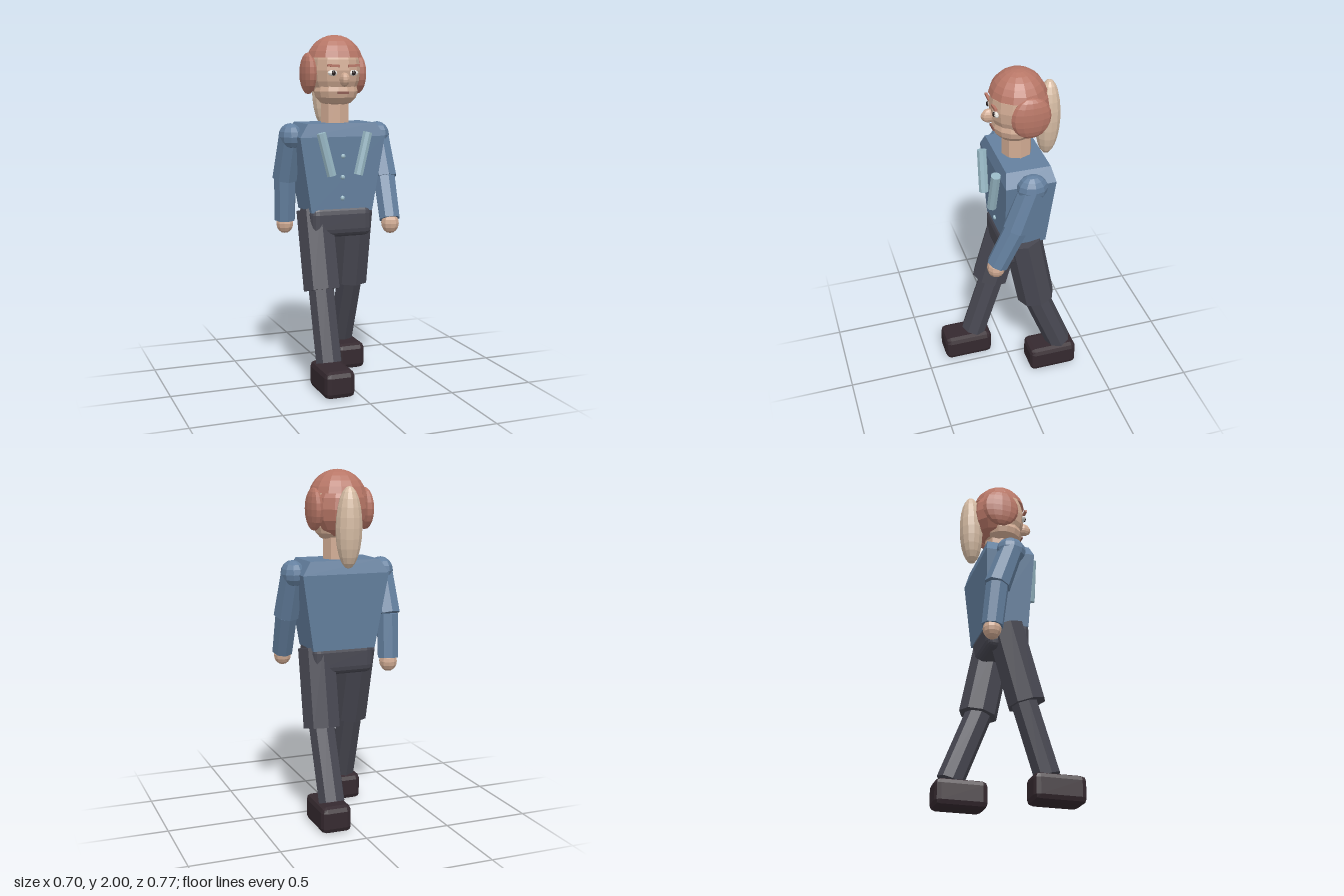
import * as THREE from 'three';
import { RoundedBoxGeometry } from 'three/addons/geometries/RoundedBoxGeometry.js';

const mat = (name, color, extra = {}) => {
  const m = new THREE.MeshStandardMaterial({ color, flatShading: true, ...extra });
  m.name = name;
  return m;
};

export function createModel() {
  const group = new THREE.Group();
  group.name = 'walkingFigure';

  const shirt = mat('shirt blue', 0x64809f);
  const hair = mat('hair auburn', 0xb87767, { side: THREE.DoubleSide });
  const skin = mat('skin', 0xd2ac94);
  const tailSkin = mat('pale tan', 0xd6bca4);
  const trousers = mat('trouser grey', 0x484852);
  const leather = mat('shoe brown', 0x35292f);
  const trim = mat('trim light blue', 0x97b7c4);
  const dark = mat('dark', 0x2a2020);
  const white = mat('eye white', 0xe8e4de);
  const lip = mat('lip', 0x8c5a50);

  const add = (name, geo, m, pos = [0, 0, 0]) => {
    const mesh = new THREE.Mesh(geo, m);
    mesh.name = name;
    mesh.position.set(...pos);
    group.add(mesh);
    return mesh;
  };
  const ball = (name, m, pos, radii, w = 12, h = 8) => {
    const mesh = add(name, new THREE.SphereGeometry(1, w, h), m, pos);
    mesh.scale.set(...radii);
    return mesh;
  };
  // Straight faceted limb between two points
  const limb = (name, m, from, to, r0, r1 = r0, sides = 8) => {
    const a = new THREE.Vector3(...from), b = new THREE.Vector3(...to);
    const dir = a.clone().sub(b);
    const mesh = add(name, new THREE.CylinderGeometry(r0, r1, dir.length(), sides), m);
    mesh.position.copy(a).add(b).multiplyScalar(0.5);
    mesh.quaternion.setFromUnitVectors(new THREE.Vector3(0, 1, 0), dir.normalize());
    return mesh;
  };

  // Torso: stacked rectangles [y, half width, front z, back z]
  const sections = [
    [1.0, 0.185, 0.07, -0.168],
    [1.43, 0.255, 0.086, -0.198],
    [1.505, 0.205, 0.07, -0.18],
  ];
  const verts = [], faces = [];
  for (const [y, w, f, b] of sections) verts.push(-w, y, f, w, y, f, w, y, b, -w, y, b);
  for (let s = 0; s < sections.length - 1; s++) {
    for (let i = 0; i < 4; i++) {
      const a = s * 4 + i, b = s * 4 + (i + 1) % 4;
      faces.push(a, b, b + 4, a, b + 4, a + 4);
    }
  }
  faces.push(0, 2, 1, 0, 3, 2, 8, 9, 10, 8, 10, 11);
  const torso = new THREE.BufferGeometry();
  torso.setAttribute('position', new THREE.Float32BufferAttribute(verts, 3));
  torso.setIndex(faces);
  torso.computeVertexNormals();
  add('torso', torso, shirt);

  // Shirt buttons and slanted chest strips
  [1.32, 1.2, 1.08].forEach((y) => {
    ball('button', trim, [0, y, 0.073 + (y - 1) * 0.037], [0.014, 0.014, 0.012], 8, 6);
  });
  for (const s of [-1, 1]) {
    limb('chestStrip', trim, [s * 0.14, 1.455, 0.108], [s * 0.08, 1.215, 0.116], 0.028);
  }

  add('pelvis', new RoundedBoxGeometry(0.38, 0.185, 0.25, 2, 0.05), trousers, [0, 0.943, -0.042]);

  // Legs in mid-stride
  const legs = [
    { name: 'right', x: -0.125, knee: 0.075, shinTop: 0.06, ankle: 0.187, shoe: 0.238 },
    { name: 'left', x: 0.125, knee: -0.137, shinTop: -0.132, ankle: -0.29, shoe: -0.238 },
  ];
  for (const l of legs) {
    limb(l.name + 'Thigh', trousers, [l.x, 1.0, -0.05], [l.x, 0.555, l.knee], 0.111);
    limb(l.name + 'Shin', trousers, [l.x, 0.56, l.shinTop], [l.x, 0.155, l.ankle], 0.077);
    add(l.name + 'Shoe', new RoundedBoxGeometry(0.178, 0.155, 0.296, 1, 0.032), leather,
      [l.x, 0.0775, l.shoe]);
  }

  // Swinging arms
  const arms = [
    { name: 'right', s: -1, elbow: [0.275, 1.185, -0.14], wrist: [0.27, 0.935, -0.165], hand: [0.27, 0.915, -0.167] },
    { name: 'left', s: 1, elbow: [0.275, 1.185, 0.035], wrist: [0.266, 0.955, 0.14], hand: [0.265, 0.933, 0.147] },
  ];
  for (const a of arms) {
    const flip = ([x, y, z]) => [a.s * x, y, z];
    ball(a.name + 'Shoulder', shirt, flip([0.267, 1.428, -0.057]), [0.068, 0.077, 0.086], 10, 8);
    limb(a.name + 'UpperArm', shirt, flip([0.267, 1.43, -0.057]), flip(a.elbow), 0.07, 0.076);
    limb(a.name + 'Forearm', shirt, flip(a.elbow), flip(a.wrist), 0.066, 0.062);
    ball(a.name + 'Hand', skin, flip(a.hand), [0.052, 0.06, 0.052], 10, 8);
  }

  // Neck and head
  limb('neck', skin, [0, 1.68, -0.05], [0, 1.48, -0.05], 0.085);
  ball('head', skin, [0, 1.8, -0.055], [0.145, 0.195, 0.155], 14, 10);
  ball('jaw', skin, [0, 1.683, -0.036], [0.127, 0.09, 0.122], 14, 8);
  ball('nose', skin, [0, 1.75, 0.103], [0.027, 0.04, 0.046], 8, 8);
  add('mouth', new THREE.BoxGeometry(0.066, 0.012, 0.009), lip, [0, 1.677, 0.086]);

  // Eyes and brows
  for (const s of [-1, 1]) {
    ball('eye', white, [s * 0.06, 1.787, 0.082], [0.032, 0.017, 0.014], 10, 6);
    ball('pupil', dark, [s * 0.06, 1.787, 0.093], [0.013, 0.014, 0.008], 8, 6);
    const brow = add('brow', new THREE.BoxGeometry(0.07, 0.014, 0.014), hair, [s * 0.06, 1.827, 0.091]);
    brow.rotation.z = s * 0.06;
  }

  // Hair: cap, back mass and side puffs
  const cap = add('hairCap',
    new THREE.SphereGeometry(1, 14, 6, 0, Math.PI * 2, 0, 1.32), hair, [0, 1.83, -0.056]);
  cap.scale.set(0.166, 0.17, 0.162);
  ball('backHair', hair, [0, 1.785, -0.1], [0.15, 0.16, 0.128], 12, 8);
  for (const s of [-1, 1]) {
    ball('sidePuff', hair, [s * 0.15, 1.783, -0.085], [0.039, 0.118, 0.11], 12, 10);
  }

  // Long tapered tail behind the head
  const tail = ball('tail', tailSkin, [0, 1.688, -0.227], [0.075, 0.225, 0.07], 12, 12);
  tail.rotation.x = -0.03;

  return group;
}
